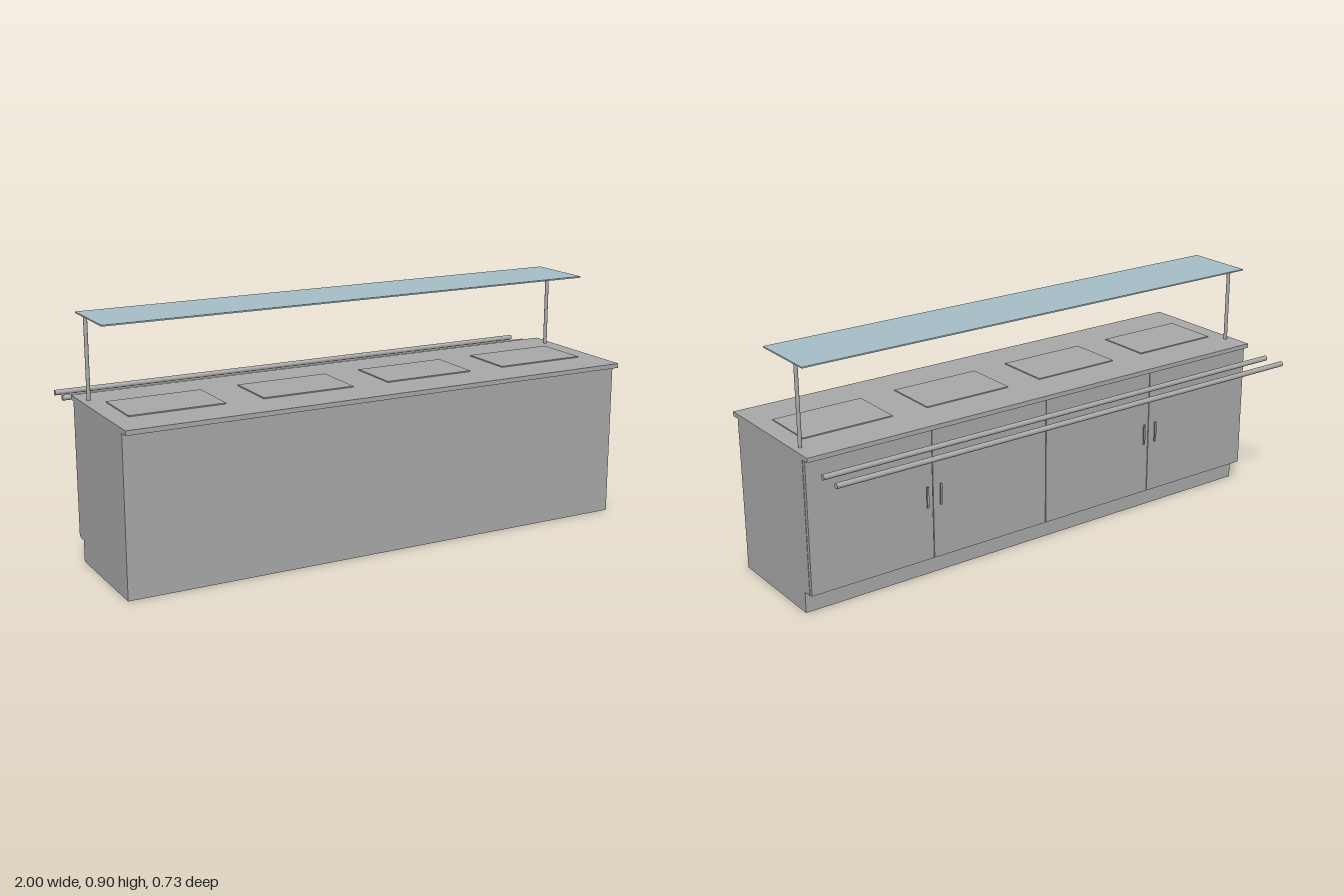
import * as THREE from 'three';

const steel = new THREE.MeshStandardMaterial({ color: 0xa8a8a8 });
steel.name = 'brushed steel';
const glass = new THREE.MeshStandardMaterial({ color: 0xa5bec6 });
glass.name = 'pale blue glass';

export function createModel() {
  const group = new THREE.Group();

  function add(name, geometry, material, x, y, z) {
    const mesh = new THREE.Mesh(geometry, material);
    mesh.name = name;
    mesh.position.set(x, y, z);
    group.add(mesh);
    return mesh;
  }

  // box given by its limits on each axis
  function box(name, x0, x1, y0, y1, z0, z1, material = steel) {
    return add(name, new THREE.BoxGeometry(x1 - x0, y1 - y0, z1 - z0), material,
      (x0 + x1) / 2, (y0 + y1) / 2, (z0 + z1) / 2);
  }

  // cabinet body with a recessed plinth along the back, as one side profile
  const profile = new THREE.Shape([
    [-0.333, 0], [0.1, 0], [0.1, 0.08], [0.133, 0.08], [0.133, 0.583], [-0.333, 0.583],
  ].map(([x, y]) => new THREE.Vector2(x, y)));
  const body = new THREE.ExtrudeGeometry(profile, { depth: 2, bevelEnabled: false });
  body.translate(0, 0, -1).rotateY(Math.PI / 2);
  add('cabinetBody', body, steel, 0, 0, 0);

  // overhanging worktop
  box('countertop', -1, 1, 0.583, 0.6, -0.167, 0.367);

  for (let i = 0; i < 4; i++) {
    const x = -0.75 + i * 0.5;
    // raised pan lid and the service door behind it
    box('panLid', x - 0.178, x + 0.178, 0.6, 0.604, -0.01, 0.208);
    box('door', x - 0.2485, x + 0.2485, 0.083, 0.579, -0.147, -0.133);
    // handles sit beside the seam of each door pair
    const hx = x + (i % 2 === 0 ? 0.222 : -0.222);
    box('doorHandle', hx - 0.0035, hx + 0.0035, 0.29, 0.37, -0.16, -0.154);
  }

  // tray rails
  for (const z of [-0.267, -0.353]) {
    const rail = new THREE.CylinderGeometry(0.01, 0.01, 2, 24).rotateZ(Math.PI / 2);
    add('trayRail', rail, steel, 0, 0.567, z);
  }

  // sneeze guard on two posts
  for (const side of [-1, 1]) {
    add('guardPost', new THREE.CylinderGeometry(0.007, 0.007, 0.298, 20), steel, side * 0.97, 0.749, -0.067);
  }
  box('guardGlass', -0.983, 0.983, 0.898, 0.903, -0.133, 0.133, glass);

  return group;
}
